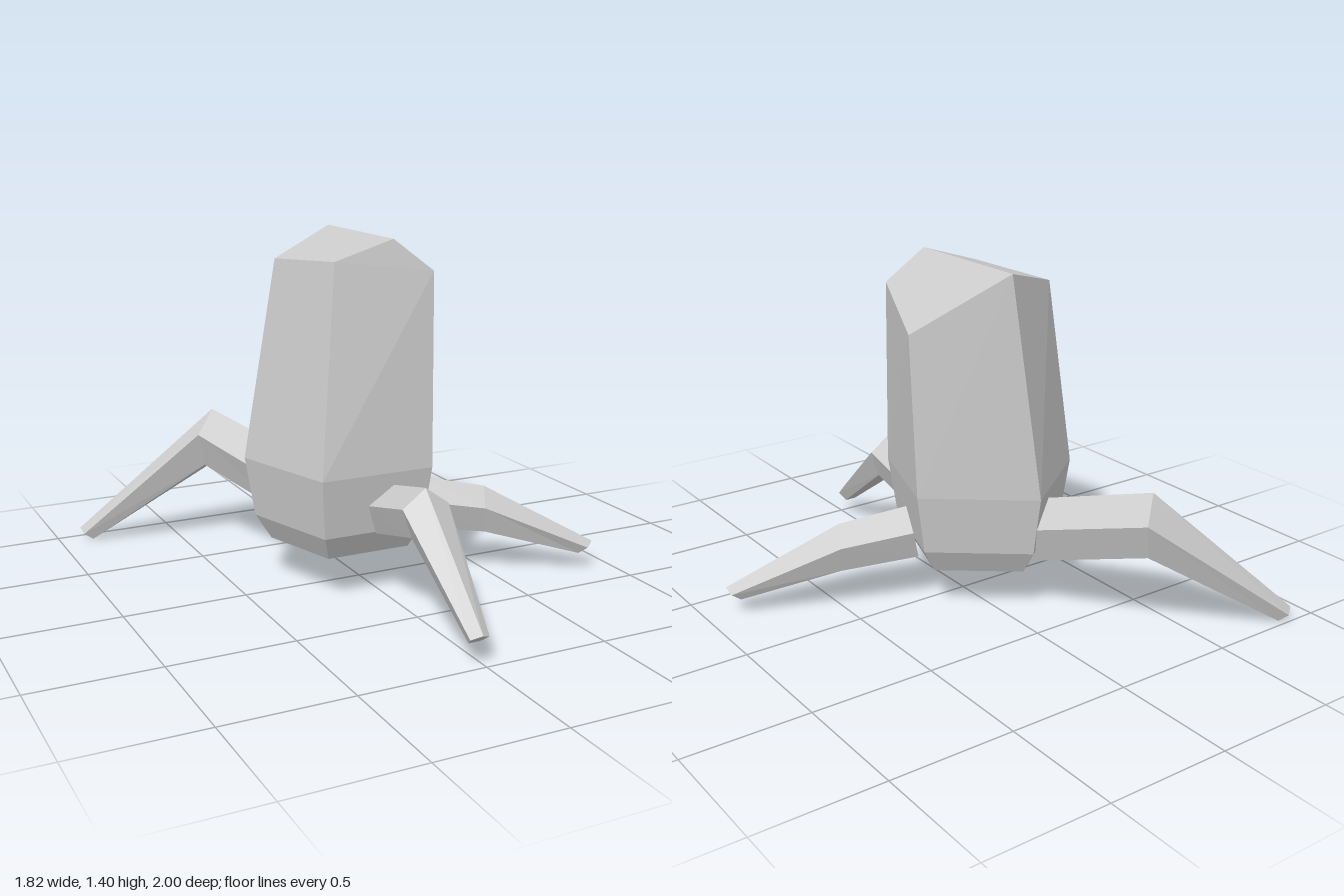
import * as THREE from 'three';

const material = new THREE.MeshStandardMaterial({ color: 0xcccccc, flatShading: true });

// Fan of triangles over a counterclockwise polygon
function addFace(out, pts) {
  for (let i = 1; i < pts.length - 1; i++) out.push(...pts[0], ...pts[i], ...pts[i + 1]);
}

// Skin between consecutive rings, with the first ring closed
function loft(rings) {
  const out = [];
  addFace(out, [...rings[0]].reverse());
  for (let k = 0; k < rings.length - 1; k++) {
    const a = rings[k], b = rings[k + 1], n = a.length;
    for (let i = 0; i < n; i++) {
      const j = (i + 1) % n;
      addFace(out, [a[i], a[j], b[j], b[i]]);
    }
  }
  return out;
}

function facetedMesh(name, positions) {
  const geometry = new THREE.BufferGeometry();
  geometry.setAttribute('position', new THREE.Float32BufferAttribute(positions, 3));
  geometry.computeVertexNormals();
  const mesh = new THREE.Mesh(geometry, material);
  mesh.name = name;
  return mesh;
}

// Five-sided body with a tapered foot and an uneven ridged roof
function makeBody() {
  const outline = [[-0.435, -0.15], [-0.3, 0.3], [0.17, 0.3], [0.315, -0.14], [-0.06, -0.43]];
  const cx = -0.06, cz = -0.03;
  const ring = (y, s) => outline.map(([x, z]) => [cx + (x - cx) * s, y, cz + (z - cz) * s]);
  const top = [
    [-0.28, 1.305, -0.18], [-0.2, 1.33, 0.2], [0.195, 1.28, 0.25],
    [0.335, 1.17, -0.125], [0.04, 1.405, -0.365],
  ];
  const positions = loft([ring(0.18, 0.74), ring(0.28, 0.9), ring(0.52, 1), top]);
  const [a, b, c, d, e] = top;
  const peak = [0.04, 1.405, 0.213];
  addFace(positions, [a, b, peak, e]);
  addFace(positions, [peak, c, d, e]);
  addFace(positions, [b, c, peak]);
  return facetedMesh('body', positions);
}

// Pentagonal section: yaw is its outward heading, tilt leans its top outward
function section([x, y, z, r, yaw, tilt]) {
  const ox = Math.sin(yaw), oz = Math.cos(yaw);
  const st = Math.sin(tilt), ct = Math.cos(tilt);
  return Array.from({ length: 5 }, (_, i) => {
    const angle = Math.PI / 2 + (i * Math.PI * 2) / 5;
    const s = r * Math.cos(angle), u = r * Math.sin(angle);
    return [x + s * oz + u * st * ox, y + u * ct, z - s * ox + u * st * oz];
  });
}

// Leg through hip, knee and tip sections
function makeLeg(name, sections) {
  const rings = sections.map(section);
  const positions = loft(rings);
  addFace(positions, rings[rings.length - 1]);
  return facetedMesh(name, positions);
}

export function createModel() {
  const model = new THREE.Group();
  model.name = 'leggedCreature';
  model.add(makeBody());

  // Sections: x, y, z, radius, yaw, tilt
  model.add(makeLeg('frontLeg', [
    [0.005, 0.345, 0.21, 0.11, 0, 0.15],
    [0.006, 0.423, 0.545, 0.102, 0, -0.03],
    [-0.016, 0.095, 0.967, 0.041, 0, 0.92],
  ]));
  model.add(makeLeg('leftLeg', [
    [0.225, 0.3, 0.04, 0.11, 1.12, 0.2],
    [0.5, 0.26, 0.15, 0.099, 1.12, 0],
    [0.883, 0.092, 0.332, 0.041, 1.12, 0.9],
  ]));
  model.add(makeLeg('backLeg', [
    [-0.14, 0.325, -0.275, 0.133, -2.72, 0],
    [-0.355, 0.455, -0.735, 0.13, -2.45, 0],
    [-0.875, 0.022, -0.96, 0.041, -1.98, 0.9],
  ]));
  return model;
}
